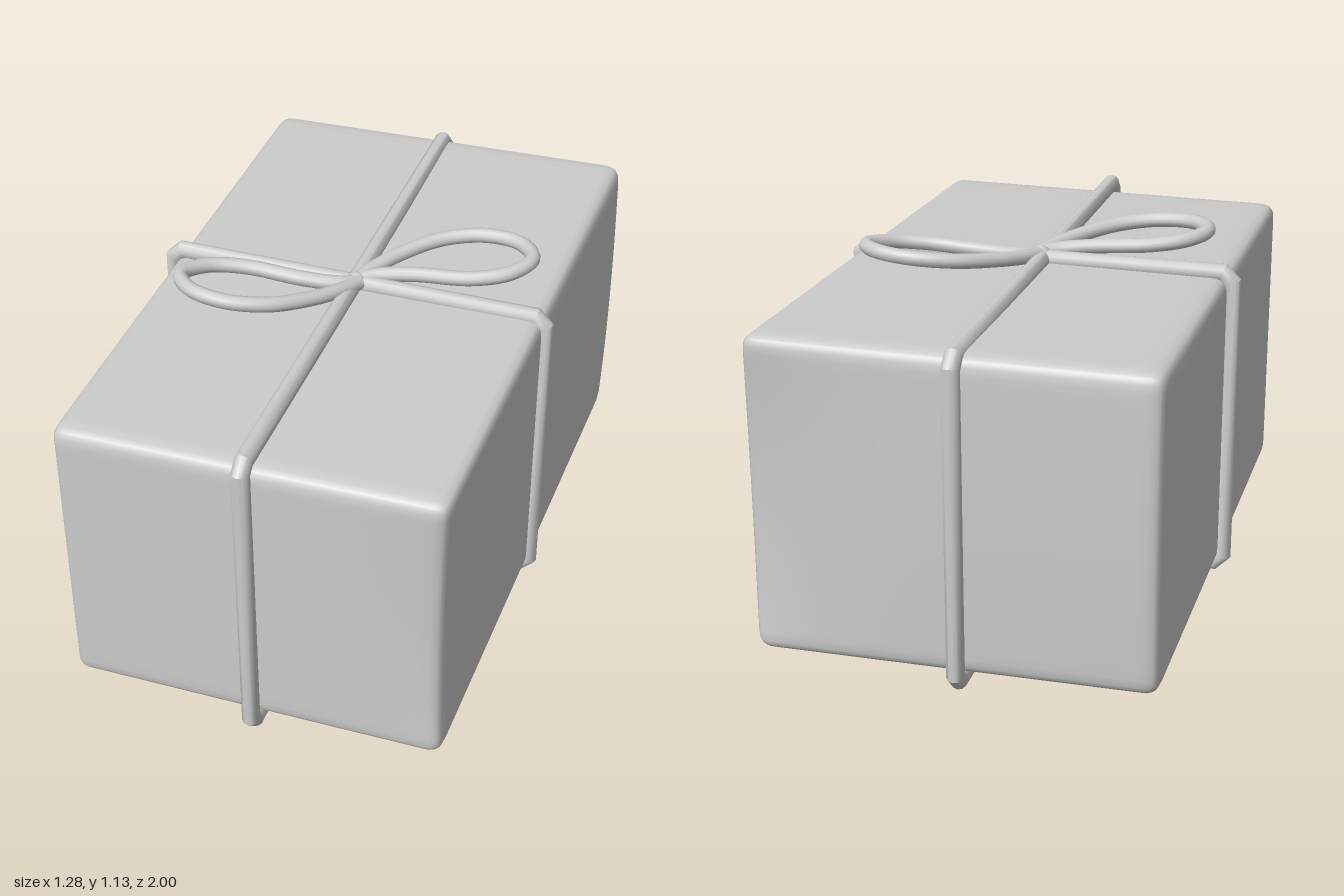
import * as THREE from 'three';
import { mergeVertices, toCreasedNormals } from 'three/addons/utils/BufferGeometryUtils.js';

const material = new THREE.MeshStandardMaterial({ color: 0xcccccc });

function addMesh(parent, name, geometry) {
  const mesh = new THREE.Mesh(geometry, material);
  mesh.name = name;
  parent.add(mesh);
  return mesh;
}

// Soft-edged box, slightly skewed and dented like a hand-wrapped parcel.
function parcelGeometry() {
  const half = new THREE.Vector3(0.605, 0.49, 0.96), radius = 0.045;
  const geometry = new THREE.BoxGeometry(2, 2, 2, 26, 26, 26);
  geometry.deleteAttribute('uv');
  geometry.deleteAttribute('normal');
  const pos = geometry.attributes.position;
  const core = half.clone().subScalar(radius);
  const p = new THREE.Vector3(), inner = new THREE.Vector3();
  const spread = (t) => Math.sin((t * Math.PI) / 2); // crowds the grid towards the edges
  for (let i = 0; i < pos.count; i++) {
    p.fromBufferAttribute(pos, i);
    p.set(spread(p.x), spread(p.y), spread(p.z)).multiply(half);
    inner.copy(p).clamp(core.clone().negate(), core);
    p.sub(inner).setLength(radius).add(inner);

    const nx = p.x / half.x, ny = p.y / half.y, nz = p.z / half.z;
    const right = (nx + 1) / 2, back = Math.max(0, -nz), front = Math.max(0, nz);
    const belly = 1 - ny * ny;
    const side = Math.max(0, nx) ** 3;
    p.x += right * (-0.018 * nz + 0.018 * belly * back) - 0.012 * belly * front * side;
    p.z += back * (belly * (0.045 * side - 0.012 * (1 - right)) + 0.012 - 0.024 * right);
    p.z -= front * (0.005 + 0.012 * right + 0.02 * belly * side);
    p.y += ((ny + 1) / 2) * (-0.016 * nz + 0.006 * nx);
    pos.setXYZ(i, p.x, p.y + 0.54, p.z);
  }
  const merged = mergeVertices(geometry, 1e-5);
  merged.computeVertexNormals();
  return merged;
}

// Round cord following a chamfered rectangle in the XY plane, mitred at each corner.
function cordLoop(x0, x1, y0, y1, chamfer, radius, sides = 12) {
  const c = chamfer;
  const path = [
    [x0 + c, y0], [x1 - c, y0], [x1, y0 + c], [x1, y1 - c],
    [x1 - c, y1], [x0 + c, y1], [x0, y1 - c], [x0, y0 + c],
  ].map(([x, y]) => new THREE.Vector2(x, y));
  const n = path.length, vertices = [], index = [];
  const outward = (a, b) => new THREE.Vector2(b.y - a.y, a.x - b.x).normalize();
  path.forEach((pt, i) => {
    const n1 = outward(path[(i + n - 1) % n], pt);
    const n2 = outward(pt, path[(i + 1) % n]);
    const mitre = n1.clone().add(n2).divideScalar(1 + n1.dot(n2));
    for (let j = 0; j < sides; j++) {
      const angle = (j / sides) * Math.PI * 2;
      const k = radius * Math.cos(angle);
      vertices.push(pt.x + mitre.x * k, pt.y + mitre.y * k, radius * Math.sin(angle));
      const i2 = (i + 1) % n, j2 = (j + 1) % sides;
      const a = i * sides + j, b = i2 * sides + j, d = i2 * sides + j2, e = i * sides + j2;
      index.push(a, b, e, b, d, e);
    }
  });
  const geometry = new THREE.BufferGeometry();
  geometry.setAttribute('position', new THREE.Float32BufferAttribute(vertices, 3));
  geometry.setIndex(index);
  return toCreasedNormals(geometry, 0.65);
}

// One teardrop loop of the bow, rising away from the knot.
function bowLoopGeometry() {
  const plan = [
    [0, 0], [0.035, -0.07], [0.09, -0.15], [0.2, -0.255], [0.33, -0.3], [0.45, -0.28],
    [0.508, -0.21], [0.46, -0.125], [0.35, -0.075], [0.17, -0.06], [0.06, -0.035], [0, 0],
  ];
  const curve = new THREE.CatmullRomCurve3(
    plan.map(([x, z]) => new THREE.Vector3(x, 1.05 + 0.07 * x - 0.09 * z, z)));
  return new THREE.TubeGeometry(curve, 72, 0.024, 12, false);
}

export function createModel() {
  const model = new THREE.Group();
  model.name = 'wrappedParcel';

  addMesh(model, 'parcel', parcelGeometry());

  // Cords tied round the parcel lengthwise and crosswise
  const r = 0.028;
  const lengthCord = addMesh(model, 'lengthwiseCord',
    cordLoop(-0.972, 0.972, r, 1.038, 0.03, r).rotateY(-Math.PI / 2));
  lengthCord.position.x = -0.007;
  addMesh(model, 'crosswiseCord', cordLoop(-0.617, 0.605, 0.045, 1.038, 0.03, r));

  // Bow: two loops, one the half-turn of the other, with a small knot between
  const bow = new THREE.Group();
  bow.name = 'bow';
  model.add(bow);
  const loop = bowLoopGeometry();
  addMesh(bow, 'rightwardLoop', loop);
  const opposite = addMesh(bow, 'oppositeLoop', loop);
  opposite.rotation.y = Math.PI;
  opposite.position.set(0.012, 0, 0.015);
  const knot = addMesh(bow, 'knot', new THREE.SphereGeometry(0.03, 16, 12));
  knot.position.set(0, 1.048, 0.005);

  return model;
}
